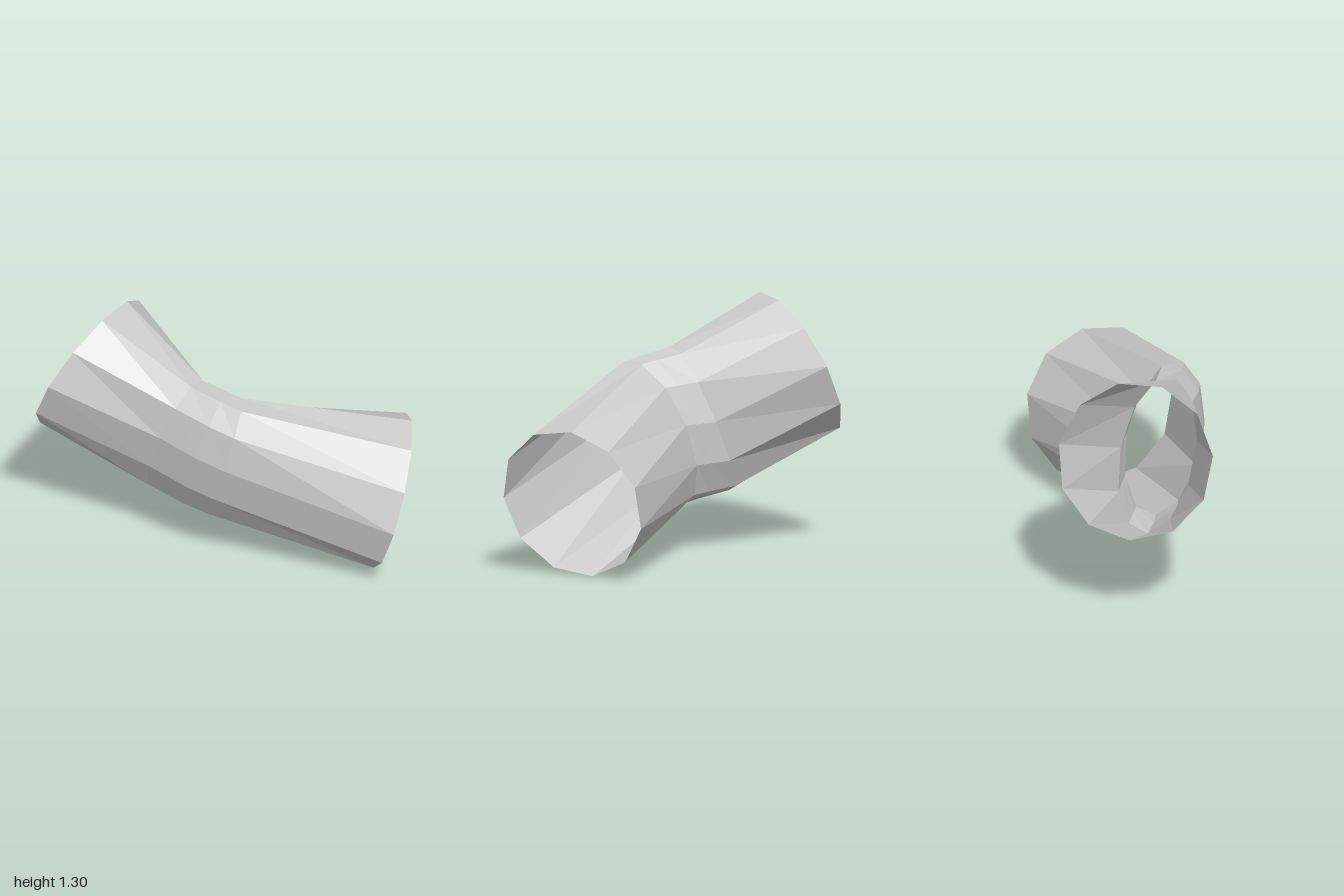
import * as THREE from 'three';

const SIDES = 11;

// Cross-sections from the right end to the left end: centre and the two half-axes of each ring
const SECTIONS = [
  { c: [-0.8, 0.94, 0.018], u: [0.127, 0.364, 0.149], v: [-0.157, -0.095, 0.369] },
  { c: [-0.272, 0.683, 0.17], u: [0.119, 0.38, 0.112], v: [-0.083, -0.071, 0.172] },
  { c: [-0.11, 0.655, 0.21], u: [0.125, 0.375, 0.111], v: [-0.03, -0.095, 0.186] },
  { c: [0, 0.634, 0.227], u: [0.132, 0.37, 0.111], v: [0.02, -0.115, 0.184] },
  { c: [0.829, 0.4, -0.055], u: [0.149, 0.361, 0.134], v: [0.075, -0.173, 0.366] },
];

// Joins the rings into an open tube
function loft(sections) {
  const positions = [];
  const index = [];
  for (const { c, u, v } of sections) {
    for (let k = 0; k < SIDES; k++) {
      const t = (k / SIDES) * Math.PI * 2;
      for (let i = 0; i < 3; i++) positions.push(c[i] + u[i] * Math.cos(t) + v[i] * Math.sin(t));
    }
  }
  for (let r = 0; r < sections.length - 1; r++) {
    for (let k = 0; k < SIDES; k++) {
      const next = (k + 1) % SIDES;
      const a = r * SIDES + k;
      const d = r * SIDES + next;
      const b = a + SIDES;
      const e = d + SIDES;
      index.push(a, d, e, a, e, b);
    }
  }
  const geometry = new THREE.BufferGeometry();
  geometry.setAttribute('position', new THREE.Float32BufferAttribute(positions, 3));
  geometry.setIndex(index);
  geometry.computeVertexNormals();
  return geometry;
}

export function createModel() {
  const group = new THREE.Group();
  group.name = 'bentSleeve';

  // Open bent tube, pinched at the elbow and flared at both ends
  const material = new THREE.MeshStandardMaterial({
    color: 0xcccccc,
    flatShading: true,
    side: THREE.DoubleSide,
  });
  const tube = new THREE.Mesh(loft(SECTIONS), material);
  tube.name = 'bentTube';
  group.add(tube);
  return group;
}
